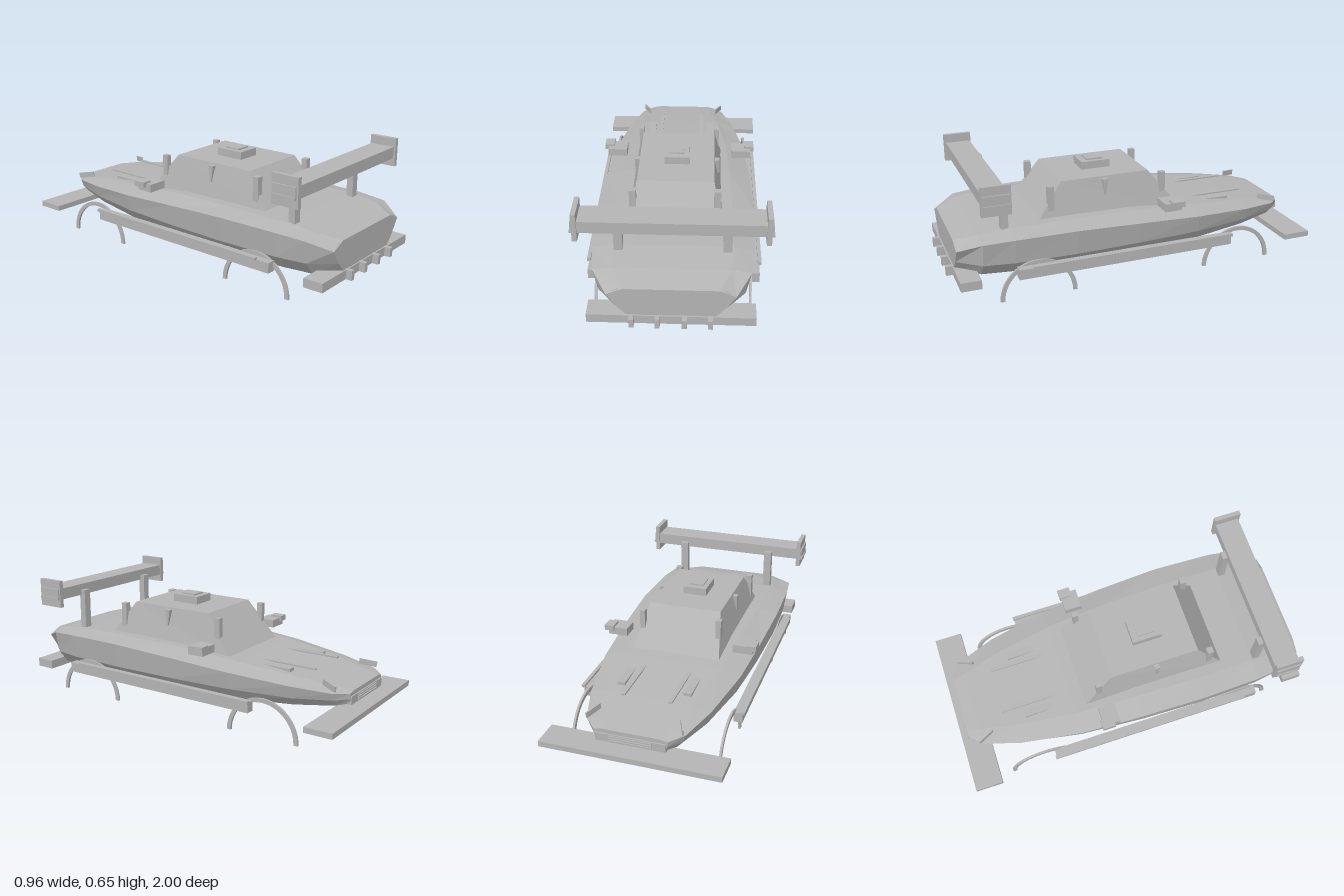
import * as THREE from 'three';

export function createModel() {
  const group = new THREE.Group();
  const grey = new THREE.MeshStandardMaterial({ color: 0xb4b4b4, flatShading: true });
  grey.name = 'plain grey';

  function add(name, geometry) {
    const mesh = new THREE.Mesh(geometry, grey);
    mesh.name = name;
    group.add(mesh);
    return mesh;
  }
  // Box given by its limits on each axis
  function box(name, x0, x1, y0, y1, z0, z1) {
    const mesh = add(name, new THREE.BoxGeometry(x1 - x0, y1 - y0, z1 - z0));
    mesh.position.set((x0 + x1) / 2, (y0 + y1) / 2, (z0 + z1) / 2);
    return mesh;
  }
  // The same box on both sides, limits given for the left
  function pair(name, x0, x1, ...rest) {
    box(name + 'Left', x0, x1, ...rest);
    box(name + 'Right', -x1, -x0, ...rest);
  }
  // Closed skin over a row of rings, clockwise as seen from the first end
  function loft(rings) {
    const n = rings[0].length, index = [];
    const id = (i, j) => i * n + (j % n);
    for (let i = 0; i < rings.length - 1; i++) {
      for (let j = 0; j < n; j++) {
        index.push(id(i, j), id(i, j + 1), id(i + 1, j));
        index.push(id(i, j + 1), id(i + 1, j + 1), id(i + 1, j));
      }
    }
    const last = rings.length - 1;
    for (let j = 1; j < n - 1; j++) {
      index.push(id(0, 0), id(0, j + 1), id(0, j));
      index.push(id(last, 0), id(last, j), id(last, j + 1));
    }
    const geometry = new THREE.BufferGeometry();
    geometry.setAttribute('position', new THREE.Float32BufferAttribute(rings.flat(2), 3));
    geometry.setIndex(index);
    const flat = geometry.toNonIndexed();
    flat.computeVertexNormals();
    return flat;
  }

  // Body: z, then half width and height of deck edge, belt, sill and floor edge
  const sections = [
    [0.96, 0.23, 0.31, 0.31, 0.275, 0.26, 0.2, 0.2, 0.135],
    [0.84, 0.29, 0.34, 0.385, 0.322, 0.36, 0.2, 0.3, 0.128],
    [0.68, 0.3, 0.356, 0.405, 0.332, 0.385, 0.2, 0.32, 0.126],
    [0.35, 0.3, 0.356, 0.415, 0.335, 0.395, 0.2, 0.33, 0.126],
    [0.0, 0.29, 0.35, 0.403, 0.318, 0.385, 0.2, 0.33, 0.128],
    [-0.35, 0.27, 0.325, 0.38, 0.295, 0.36, 0.2, 0.31, 0.136],
    [-0.68, 0.22, 0.29, 0.32, 0.268, 0.3, 0.2, 0.26, 0.155],
    [-0.88, 0.17, 0.262, 0.255, 0.25, 0.24, 0.21, 0.21, 0.175],
    [-0.95, 0.15, 0.25, 0.19, 0.243, 0.185, 0.215, 0.17, 0.19],
  ];
  add('body', loft(sections.map(([z, ...p]) => {
    const half = [0, 2, 4, 6].map(k => [p[k], p[k + 1], z]);
    return [...half, ...half.map(([x, y]) => [-x, y, z]).reverse()];
  })));

  // Cabin with sloping windows
  const cabinRing = (x, front, yFront, rear, yRear) =>
    [[-x, yFront, front], [x, yFront, front], [x, yRear, rear], [-x, yRear, rear]];
  add('cabin', loft([
    cabinRing(0.2, -0.118, 0.533, 0.375, 0.533),
    cabinRing(0.245, -0.3, 0.305, 0.515, 0.345),
  ]));
  box('roofHatch', -0.066, 0.066, 0.53, 0.575, 0.05, 0.212);
  box('roofHatchLid', -0.04, 0.04, 0.575, 0.583, 0.085, 0.175);

  // Pillars on the cabin sides
  pair('frontPillar', 0.2, 0.228, 0.41, 0.522, -0.21, -0.178);
  pair('rearPillar', 0.2, 0.235, 0.39, 0.522, 0.422, 0.455);
  for (const s of [1, -1]) {
    const wedge = add('middlePillar', loft([
      cabinRing(0.016, -0.015, 0.522, 0.015, 0.522),
      cabinRing(0.016, -0.004, 0.435, 0.004, 0.435),
    ]));
    wedge.position.set(s * 0.212, 0, 0.135);
  }

  // Mirrors
  pair('mirrorArm', 0.3, 0.408, 0.362, 0.405, -0.228, -0.135);
  pair('mirrorHead', 0.375, 0.428, 0.386, 0.416, -0.238, -0.168);

  // Rear wing
  box('wingBlade', -0.475, 0.475, 0.56, 0.609, 0.712, 0.845);
  box('wingFlap', -0.48, 0.48, 0.546, 0.56, 0.712, 0.845);
  pair('wingEndPlate', 0.443, 0.467, 0.503, 0.655, 0.705, 0.855);
  pair('wingPost', 0.247, 0.291, 0.34, 0.575, 0.685, 0.722);

  // Bumper with fins, and front splitter
  box('rearBumper', -0.41, 0.41, 0.102, 0.15, 0.86, 0.967);
  for (const x of [-0.19, -0.065, 0.065, 0.19]) {
    box('bumperFin', x - 0.012, x + 0.012, 0.102, 0.152, 0.96, 1.0);
  }
  box('frontSplitter', -0.468, 0.468, 0.112, 0.142, -1.0, -0.847);

  // Nose panel with slats
  box('nosePanel', -0.18, 0.18, 0.185, 0.228, -0.957, -0.925);
  for (let i = 0; i < 3; i++) {
    const y = 0.193 + i * 0.012;
    box('noseSlat', -0.11, 0.11, y, y + 0.006, -0.963, -0.955);
  }

  // Side skirts with outer rails
  pair('sideSkirt', 0.39, 0.437, 0.128, 0.182, -0.52, 0.675);
  pair('skirtRail', 0.43, 0.449, 0.178, 0.193, -0.525, 0.6);

  // Bonnet strips and vents
  pair('bonnetStrip', 0.113, 0.134, 0.31, 0.318, -0.73, -0.425);
  pair('bonnetVent', 0.157, 0.198, 0.295, 0.313, -0.62, -0.465);

  // Wheel arch hoops
  const hoop = new THREE.Shape();
  hoop.absarc(0, 0, 0.205, 0, Math.PI, false);
  hoop.absarc(0, 0, 0.183, Math.PI, 0, true);
  const hoopGeometry = new THREE.ExtrudeGeometry(hoop, { depth: 0.012, bevelEnabled: false, curveSegments: 12 });
  hoopGeometry.translate(0, 0, -0.006).rotateY(Math.PI / 2);
  for (const z of [0.563, -0.577]) {
    for (const s of [1, -1]) add('archHoop', hoopGeometry).position.set(s * 0.391, 0, z);
  }

  // Small fins at the nose and tail corners
  for (const s of [1, -1]) {
    const nose = add('noseFin', new THREE.BoxGeometry(0.008, 0.03, 0.095));
    nose.position.set(s * 0.228, 0.28, -0.857);
    nose.rotation.set(-0.15, -s * 0.42, 0, 'YXZ');
    const tail = add('tailFin', new THREE.BoxGeometry(0.065, 0.008, 0.06));
    tail.position.set(s * 0.28, 0.288, 0.925);
    tail.rotation.z = -s * 0.45;
  }
  return group;
}
